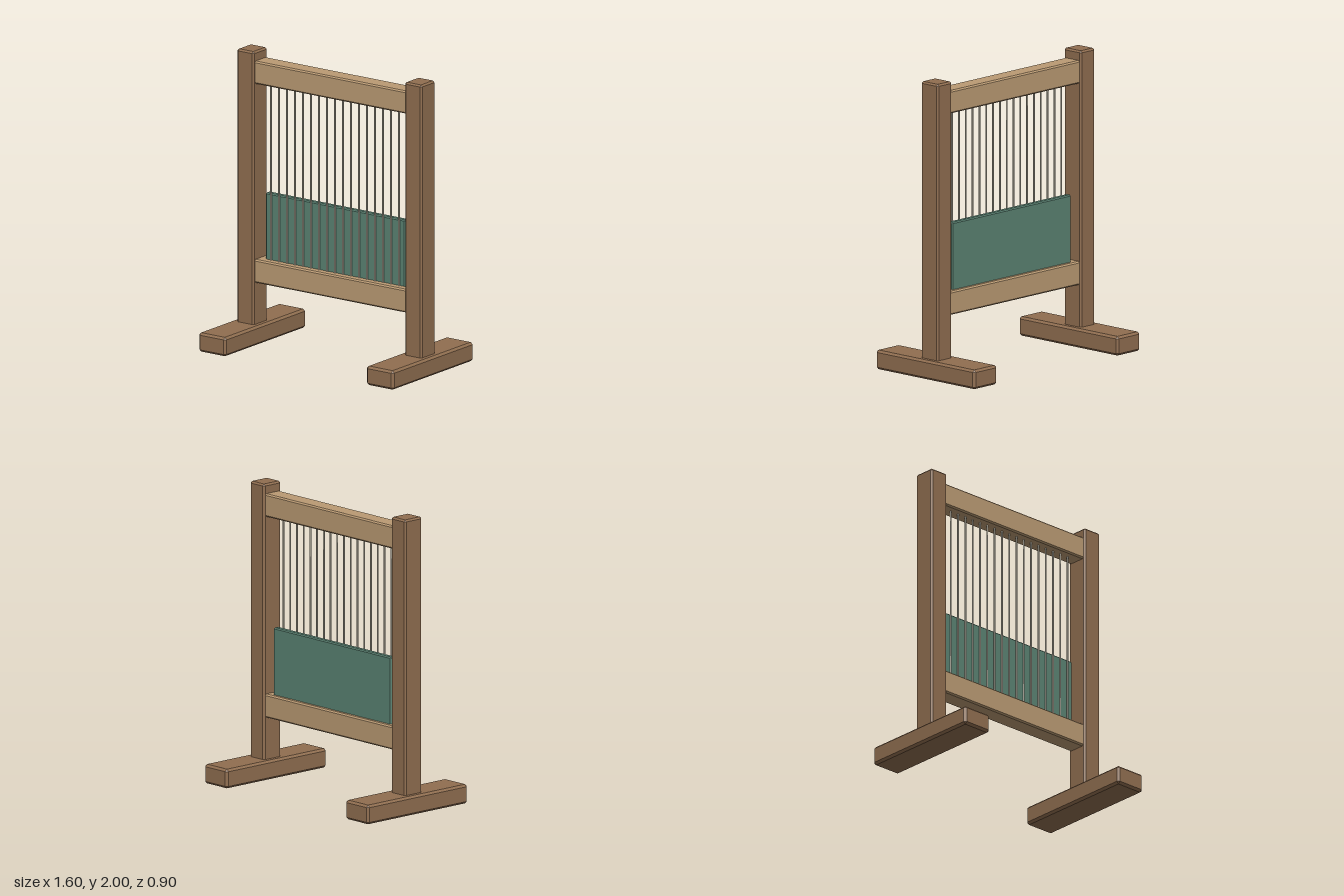
import * as THREE from 'three';
import { ConvexGeometry } from 'three/addons/geometries/ConvexGeometry.js';

const mat = (color) => new THREE.MeshStandardMaterial({ color });

// Box with a flat chamfer c along every edge
function chamferBox(w, h, d, c) {
  const points = [];
  for (const sx of [-1, 1]) for (const sy of [-1, 1]) for (const sz of [-1, 1]) {
    const x = w / 2, y = h / 2, z = d / 2;
    points.push(
      new THREE.Vector3(sx * x, sy * (y - c), sz * (z - c)),
      new THREE.Vector3(sx * (x - c), sy * y, sz * (z - c)),
      new THREE.Vector3(sx * (x - c), sy * (y - c), sz * z)
    );
  }
  return new ConvexGeometry(points);
}

export function createModel() {
  const model = new THREE.Group();
  model.name = 'weavingLoom';
  const darkWood = mat(0x906e50);
  const lightWood = mat(0xba9a73);
  const green = mat(0x5a8272);
  const string = mat(0xc8c2b0);

  const add = (name, geometry, material, x, y, z) => {
    const mesh = new THREE.Mesh(geometry, material);
    mesh.name = name;
    mesh.position.set(x, y, z);
    model.add(mesh);
  };

  // Feet and upright posts on both sides
  for (const [side, s] of [['right', -1], ['left', 1]]) {
    add(side + 'Foot', chamferBox(0.224, 0.13, 0.9, 0.015), darkWood, s * 0.688, 0.065, 0);
    add(side + 'Post', chamferBox(0.14, 1.9, 0.156, 0.012), darkWood, s * 0.688, 1.05, 0);
  }

  // Cross beams between the posts
  add('topBeam', chamferBox(1.26, 0.156, 0.13, 0.01), lightWood, 0, 1.857, 0);
  add('bottomBeam', chamferBox(1.26, 0.16, 0.13, 0.01), lightWood, 0, 0.495, 0);

  // Woven cloth resting on the bottom beam
  add('wovenCloth', chamferBox(1.146, 0.47, 0.043, 0.008), green, 0, 0.795, -0.0135);

  // Warp threads stretched in front of the cloth
  const count = 17;
  const threadGeometry = new THREE.CylinderGeometry(0.006, 0.006, 1.24, 8);
  for (let i = 0; i < count; i++) {
    const x = -0.525 + (1.05 * i) / (count - 1);
    add('warpThread' + (i + 1), threadGeometry, string, x, 1.18, 0.012);
  }
  return model;
}
